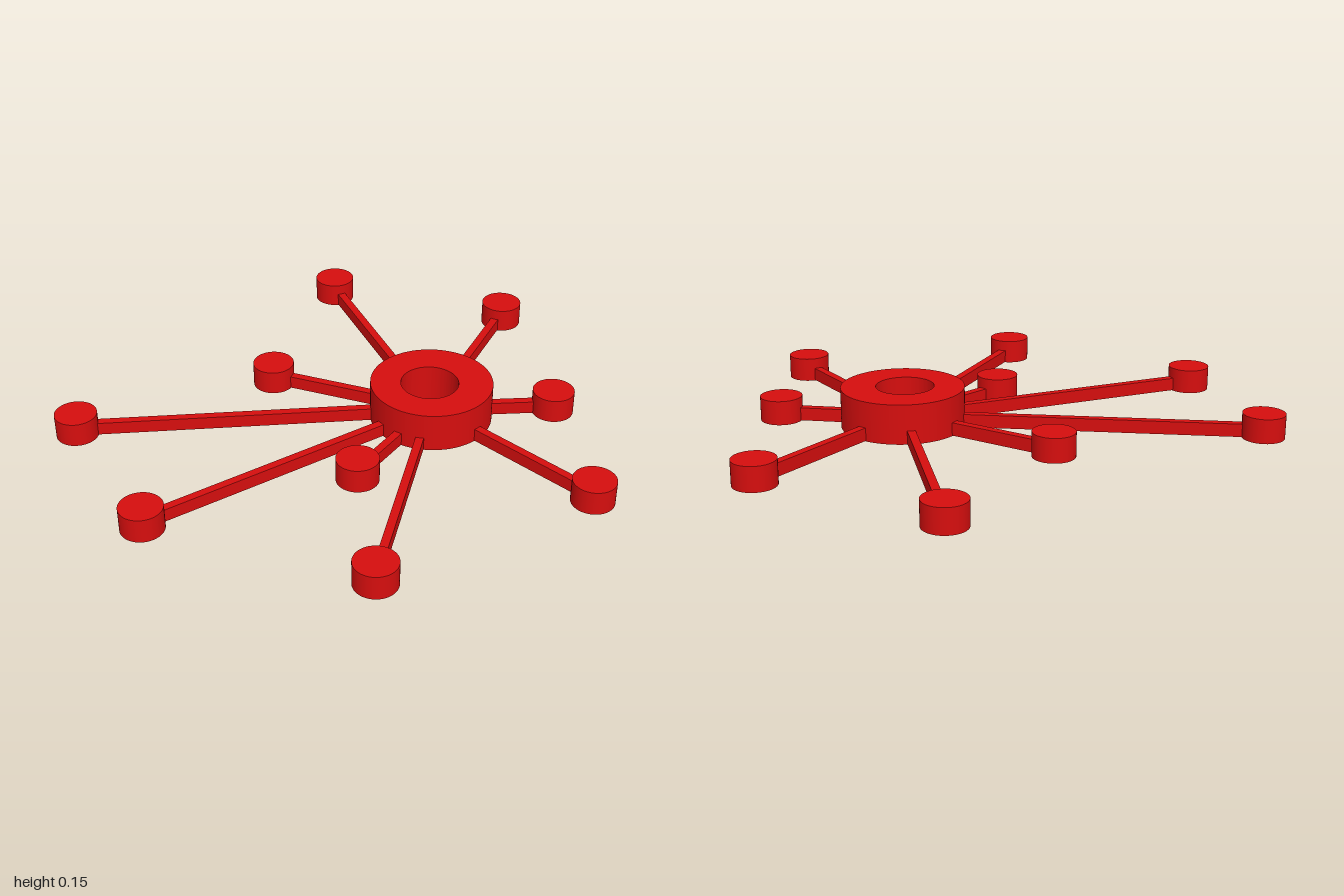
import * as THREE from 'three';
import { toCreasedNormals } from 'three/addons/utils/BufferGeometryUtils.js';

export function createModel() {
  const group = new THREE.Group();
  const red = new THREE.MeshStandardMaterial({ color: 0xd60e0e });
  red.name = 'red';

  const add = (name, geometry, x, y, z) => {
    const mesh = new THREE.Mesh(geometry, red);
    mesh.name = name;
    mesh.position.set(x, y, z);
    group.add(mesh);
    return mesh;
  };

  const hub = { x: 0.103, z: -0.268, radius: 0.225, height: 0.146 };

  // Hub: thick ring with a slightly offset bore
  const ring = new THREE.Shape().absarc(0, 0, hub.radius, 0, Math.PI * 2, false);
  ring.holes.push(new THREE.Path().absarc(0, -0.009, 0.106, 0, Math.PI * 2, true));
  const ringGeometry = new THREE.ExtrudeGeometry(ring, {
    depth: hub.height, bevelEnabled: false, curveSegments: 64,
  }).rotateX(-Math.PI / 2);
  add('hub', toCreasedNormals(ringGeometry, 0.6), hub.x, 0, hub.z);

  // Disc centres at the ends of the spokes: [x, z]
  const ends = [
    [-0.273, -0.922], [0.341, -0.656], [0.833, -0.4],
    [0.749, 0.453], [0.27, 0.183], [0.077, 0.922],
    [-0.542, 0.855], [-0.42, 0.086], [-0.838, -0.486],
  ];
  const discHeight = 0.09, spokeHeight = 0.05, spokeWidth = 0.03;
  const discGeometry = new THREE.CylinderGeometry(0.077, 0.077, discHeight, 48);

  ends.forEach(([x, z], i) => {
    add(`disc${i + 1}`, discGeometry, x, discHeight / 2, z);

    // Spoke: runs from inside the ring wall to inside the disc
    const dx = x - hub.x, dz = z - hub.z;
    const reach = Math.hypot(dx, dz);
    const start = 0.2, stop = reach - 0.05;
    const mid = (start + stop) / 2 / reach;
    const spoke = add(`spoke${i + 1}`,
      new THREE.BoxGeometry(spokeWidth, spokeHeight - 0.002, stop - start),
      hub.x + dx * mid, spokeHeight / 2 + 0.001, hub.z + dz * mid);
    spoke.rotation.y = Math.atan2(dx, dz);
  });

  return group;
}
